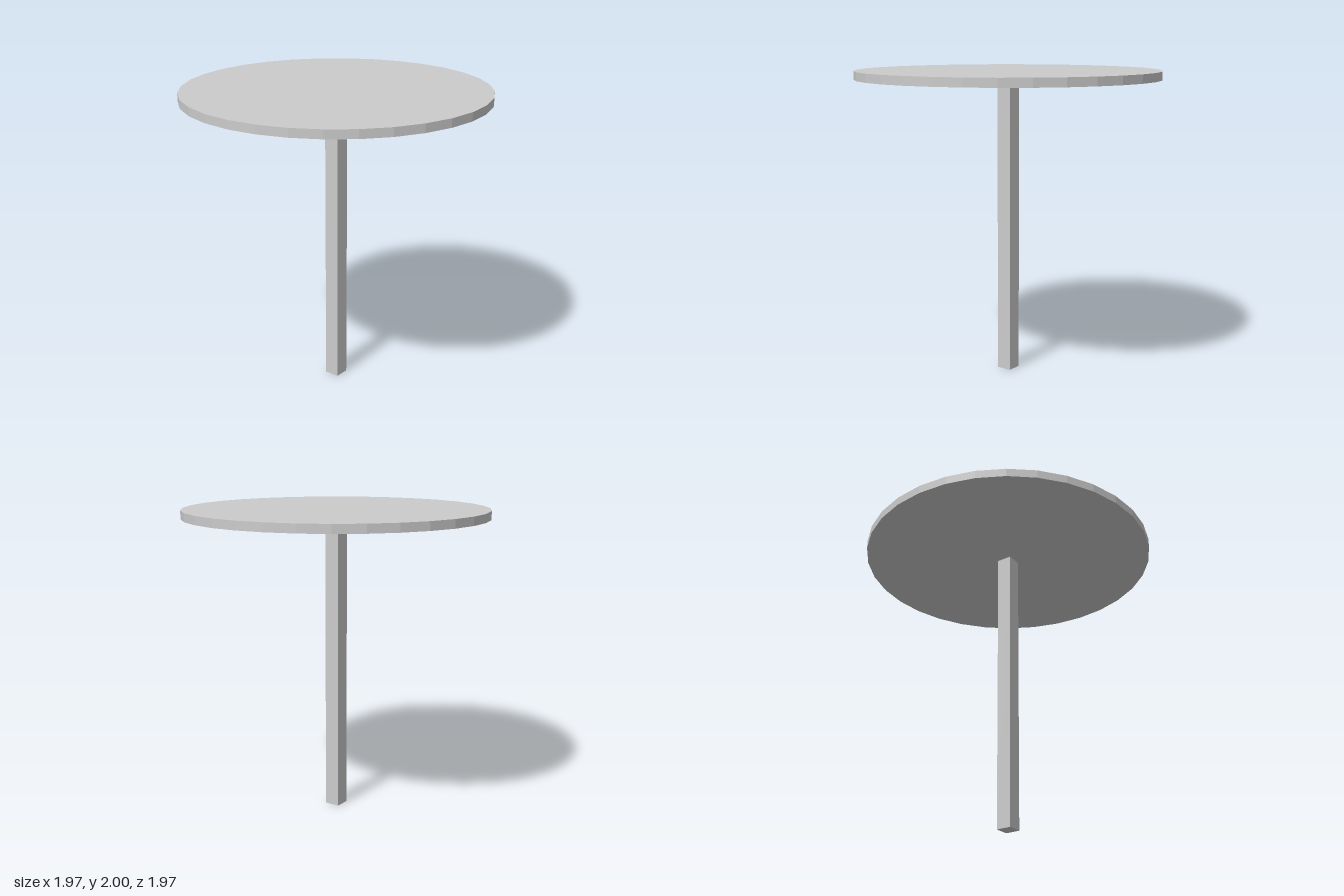
import * as THREE from 'three';

const RADIUS = 0.985;
const TOP_THICKNESS = 0.055;
const HEIGHT = 2;
const POST_WIDTH = 0.1;

export function createModel() {
  const group = new THREE.Group();
  group.name = 'pedestalTable';
  const material = new THREE.MeshStandardMaterial({ color: 0xcccccc, flatShading: true });

  // Round top: a thin 32-sided disc
  const top = new THREE.Mesh(
    new THREE.CylinderGeometry(RADIUS, RADIUS, TOP_THICKNESS, 32), material);
  top.name = 'tableTop';
  top.position.y = HEIGHT - TOP_THICKNESS / 2;

  // Square post from the ground to the underside of the top
  const postHeight = HEIGHT - TOP_THICKNESS;
  const post = new THREE.Mesh(
    new THREE.BoxGeometry(POST_WIDTH, postHeight, POST_WIDTH), material);
  post.name = 'post';
  post.position.y = postHeight / 2;

  group.add(top, post);
  return group;
}
